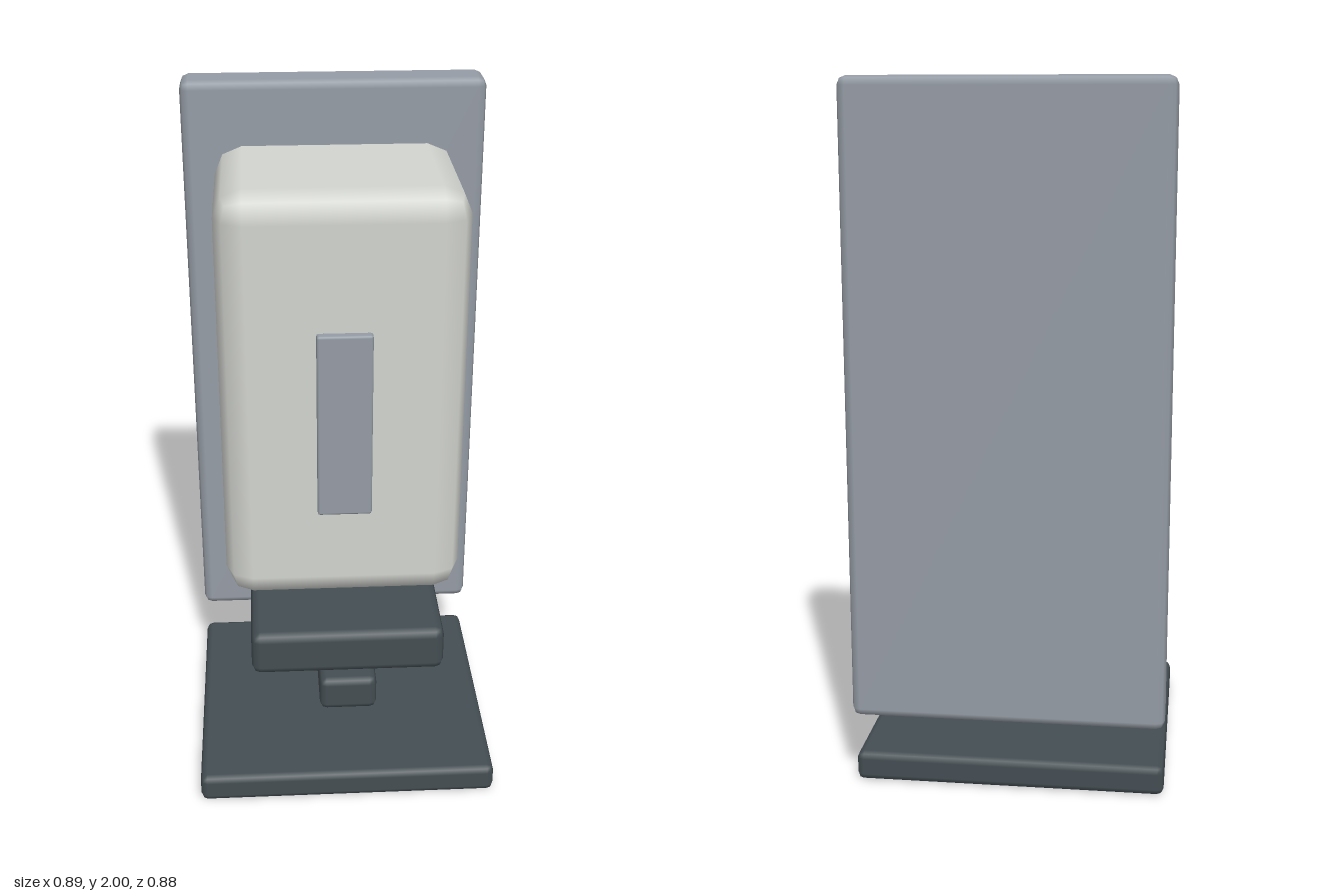
import * as THREE from 'three';
import { RoundedBoxGeometry } from 'three/addons/geometries/RoundedBoxGeometry.js';

function material(name, color) {
  const m = new THREE.MeshStandardMaterial({ color });
  m.name = name;
  return m;
}

export function createModel() {
  const model = new THREE.Group();
  model.name = 'soapDispenser';

  const grey = material('slate grey', 0x959ca5);
  const white = material('warm white', 0xd2d4cf);
  const dark = material('dark charcoal', 0x444e53);

  // Box with softly bevelled edges, centred on x, given by its y and z extents
  function softBox(name, mat, width, [y0, y1], [z0, z1], radius) {
    const geometry = new RoundedBoxGeometry(width, y1 - y0, z1 - z0, 1, radius);
    const mesh = new THREE.Mesh(geometry, mat);
    mesh.position.set(0, (y0 + y1) / 2, (z0 + z1) / 2);
    mesh.name = name;
    model.add(mesh);
  }

  // Wall plate and main housing
  softBox('backPlate', grey, 0.89, [0.217, 2.0], [-0.44, -0.304], 0.025);
  softBox('housing', white, 0.7, [0.571, 1.823], [-0.345, 0.216], 0.08);

  // Level window floating just ahead of the housing
  softBox('levelWindow', grey, 0.156, [0.885, 1.442], [0.225, 0.257], 0.007);

  // Push bar, nozzle and drip tray
  softBox('pushBar', dark, 0.558, [0.455, 0.59], [-0.014, 0.43], 0.025);
  softBox('nozzle', dark, 0.166, [0.33, 0.435], [0.166, 0.44], 0.02);
  softBox('dripTray', dark, 0.89, [0, 0.086], [-0.395, 0.44], 0.02);

  return model;
}
